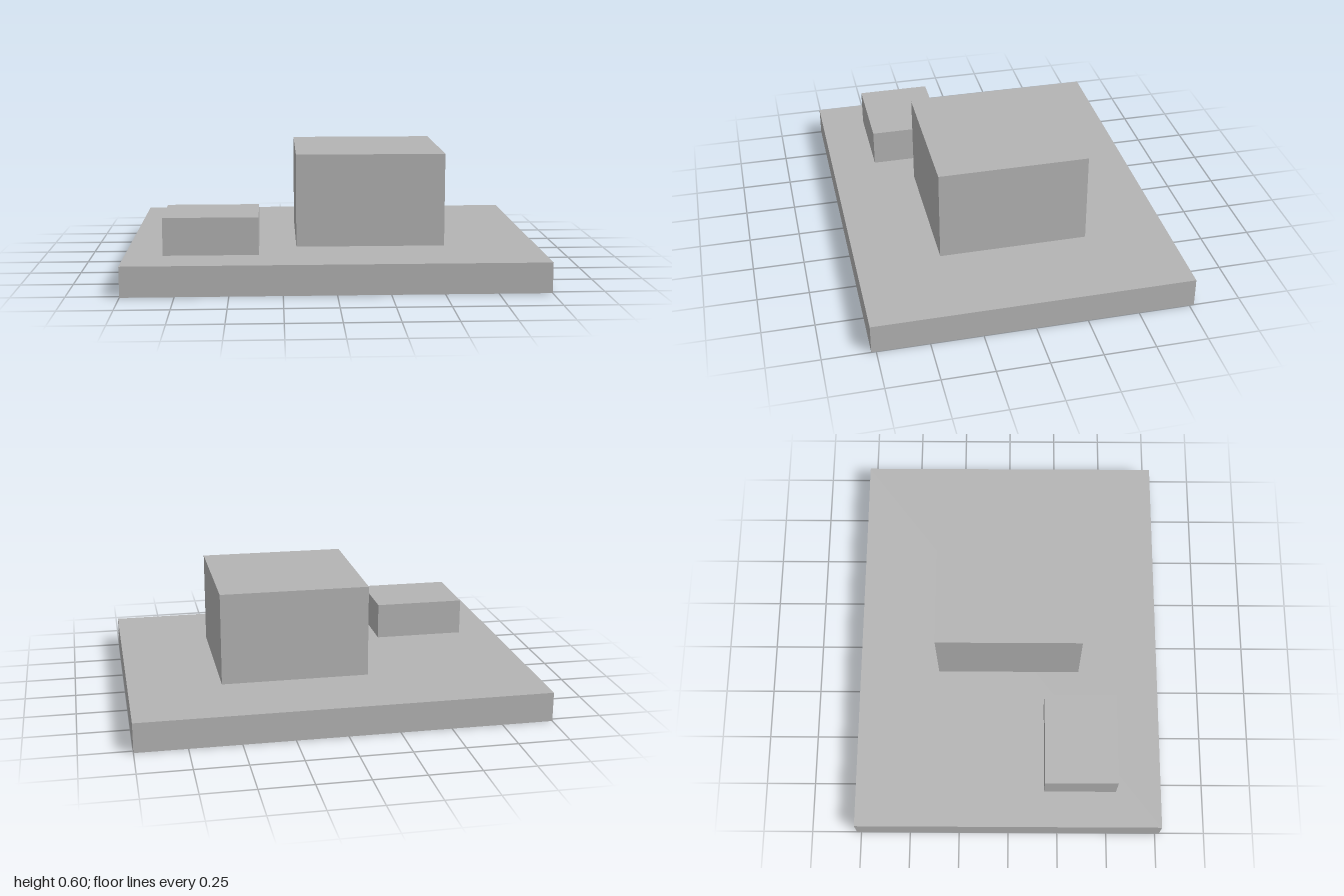
import * as THREE from 'three';

const UNIT = 1 / 11; // the base is 22 units wide

export function createModel() {
  const model = new THREE.Group();
  model.name = 'blocksOnBase';
  const grey = new THREE.MeshStandardMaterial({ color: 0xb4b4b4 });
  grey.name = 'grey';

  // Box resting at height y, centred on x and z, in units
  function addBlock(name, [w, h, d], [x, y, z]) {
    const mesh = new THREE.Mesh(new THREE.BoxGeometry(w * UNIT, h * UNIT, d * UNIT), grey);
    mesh.name = name;
    mesh.position.set(x, y + h / 2, z).multiplyScalar(UNIT);
    model.add(mesh);
  }

  const baseHeight = 1.6;
  addBlock('base', [22, baseHeight, 17], [0, 0, 0]);
  addBlock('largeBlock', [8, 5, 8], [2, baseHeight, 0]);
  addBlock('smallBlock', [5, 2, 4], [-6.5, baseHeight, 4]);

  return model;
}
